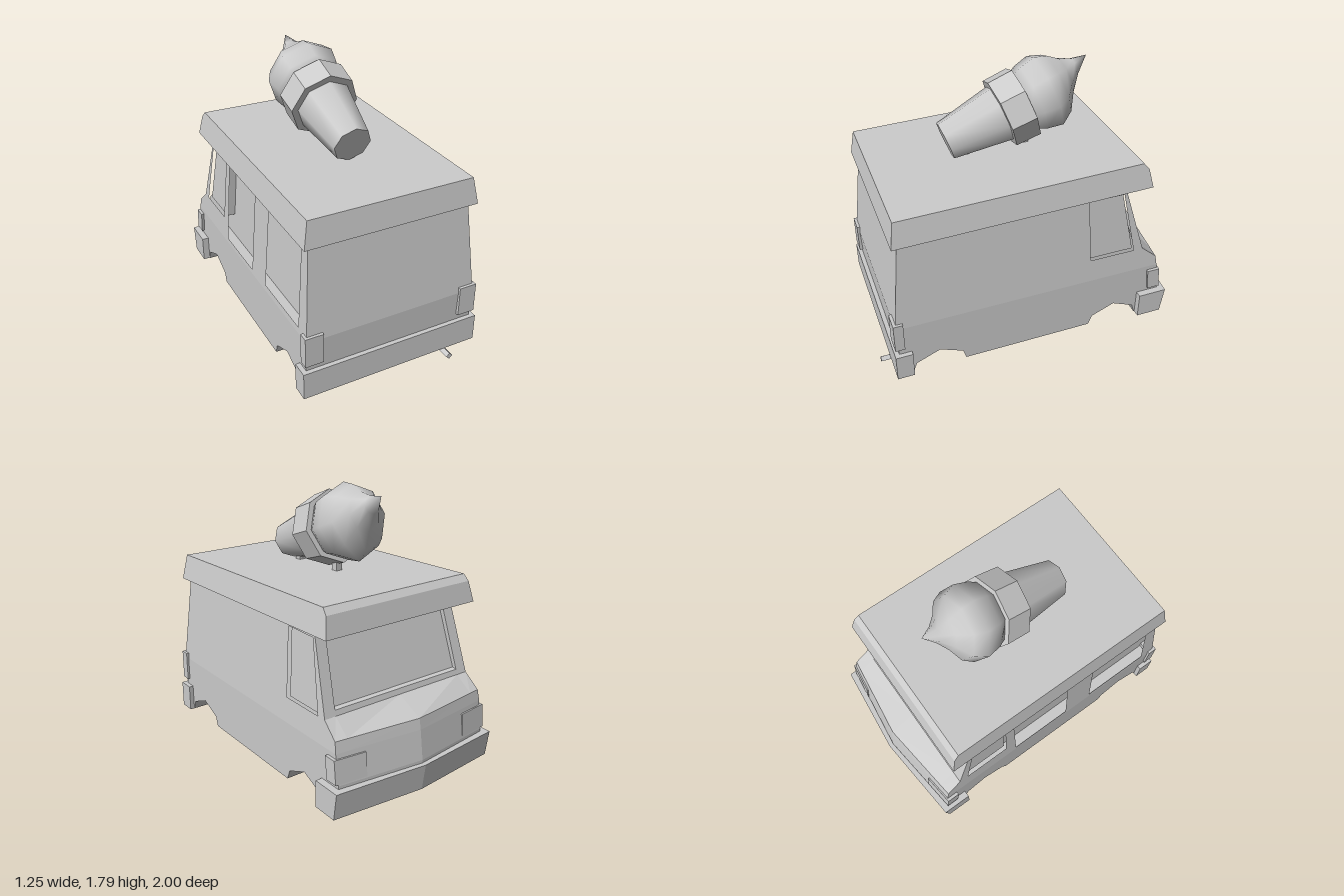
import * as THREE from 'three';
import { mergeVertices } from 'three/addons/utils/BufferGeometryUtils.js';

const material = new THREE.MeshStandardMaterial({ color: 0xcccccc });

function add(parent, name, geometry) {
  const mesh = new THREE.Mesh(geometry, material);
  mesh.name = name;
  parent.add(mesh);
  return mesh;
}

// Move every vertex of a geometry by a rule
function bend(geometry, rule) {
  const p = geometry.attributes.position;
  const v = new THREE.Vector3();
  for (let i = 0; i < p.count; i++) {
    v.fromBufferAttribute(p, i);
    rule(v);
    p.setXYZ(i, v.x, v.y, v.z);
  }
  geometry.computeVertexNormals();
  return geometry;
}

// Side outline of [z, y] points extruded across the van from x0 to x1
function slab(x0, x1, outline, holes = []) {
  const toPoints = (list) => list.map(([z, y]) => new THREE.Vector2(-z, y));
  const shape = new THREE.Shape(toPoints(outline));
  for (const hole of holes) shape.holes.push(new THREE.Path(toPoints(hole)));
  const g = new THREE.ExtrudeGeometry(shape, { depth: x1 - x0, bevelEnabled: false });
  return g.rotateY(Math.PI / 2).translate(x0, 0, 0);
}

// Plan outline of [x, z] points extruded upwards from y0 to y1
function plan(outline, y0, y1) {
  const shape = new THREE.Shape(outline.map(([x, z]) => new THREE.Vector2(x, -z)));
  const g = new THREE.ExtrudeGeometry(shape, { depth: y1 - y0, bevelEnabled: false });
  return g.rotateX(-Math.PI / 2).translate(0, y0, 0);
}

// Walls lean in above the waist, and the nose comes to a shallow point in plan
const HALF = 0.58, WAIST = 0.43, INNER = 0.5;
function shapeBody(v) {
  if (v.z < -0.8) v.z -= 0.07 * (1 - Math.abs(v.x) / HALF);
  if (v.y > WAIST) v.x *= 1 - 0.08 * (v.y - WAIST) / 0.6;
}

const nose = [[-0.755, 0.59], [-0.86, 0.5], [-0.873, WAIST]];
const upper = [[0.92, WAIST], [0.855, 1.03], [-0.61, 1.07], ...nose];
const upperRecessed = [[0.92, WAIST], [0.855, 1.03], [-0.61, 1.07],
  [-0.617, 1.046], [-0.587, 1.04], [-0.715, 0.63], [-0.745, 0.624], ...nose];
const arch = (z) => [[z + 0.18, 0.045], [z + 0.155, 0.11], [z, 0.175], [z - 0.15, 0.11], [z - 0.17, 0.045]];
const lower = [[0.92, WAIST], [-0.873, WAIST], [-0.9, 0.24], [-0.9, 0.045],
  ...arch(-0.57).reverse(), ...arch(0.65).reverse(), [0.9, 0.045], [0.91, 0.2]];

const cabWindow = [[-0.36, 1.03], [-0.6, 1.03], [-0.69, 0.59], [-0.38, 0.59]];
const servingWindow = [[0.13, 1.02], [-0.3, 1.02], [-0.3, 0.46], [0.13, 0.46]];
const rearWindow = [[0.78, 1.02], [0.34, 1.02], [0.34, 0.47], [0.81, 0.47]];

function buildBody() {
  const body = new THREE.Group();
  body.name = 'body';
  const part = (name, ...args) => add(body, name, bend(slab(...args), shapeBody));
  for (const [x0, x1] of [[-INNER, 0], [0, INNER]]) part('cabinCore', x0, x1, upperRecessed);
  for (const [x0, x1] of [[-HALF, 0], [0, HALF]]) part('lowerBody', x0, x1, lower);
  part('leftWall', INNER, HALF, upper, [cabWindow]);
  part('rightWall', -HALF, -INNER, upper, [cabWindow, servingWindow, rearWindow]);
  part('leftCabWindow', INNER, HALF - 0.025, cabWindow);
  part('rightCabWindow', -HALF + 0.025, -INNER, cabWindow);
  return body;
}

// Roof cap with sloping sides
function buildRoof() {
  const outline = [[0.895, 1.03], [0.87, 1.2], [-0.71, 1.24], [-0.745, 1.2], [-0.775, 1.07]];
  return bend(slab(-1, 1, outline), (v) => {
    const height = (v.y - 1.05 + 0.024 * v.z) / 0.17;
    v.x *= 0.575 - 0.03 * height;
  });
}

// Giant cone lying on the roof, built along +y and then tilted
function buildIceCream() {
  const cone = new THREE.Group();
  cone.name = 'iceCream';
  add(cone, 'wafer', new THREE.CylinderGeometry(0.19, 0.125, 0.4, 8).translate(0, 0.2, 0));
  const collar = new THREE.CylinderGeometry(0.235, 0.23, 0.166, 8).toNonIndexed();
  collar.computeVertexNormals();
  add(cone, 'waferCollar', collar.translate(0, 0.463, 0));

  // Scoop with its tip curled upwards
  const profile = [[0, 0.5], [0.19, 0.53], [0.225, 0.6], [0.247, 0.7], [0.205, 0.78],
    [0.12, 0.85], [0.055, 0.925], [0, 1.02]].map(([r, y]) => new THREE.Vector2(r, y));
  let scoop = new THREE.LatheGeometry(profile, 8);
  scoop.deleteAttribute('uv');
  scoop.deleteAttribute('normal');
  scoop = mergeVertices(scoop, 1e-4);
  add(cone, 'scoop', bend(scoop, (v) => {
    const t = Math.max(0, (v.y - 0.75) / 0.27);
    v.z += 0.095 * t;
  }));
  cone.position.set(0, 1.33, 0.39);
  cone.rotation.x = -1.234;
  return cone;
}

export function createModel() {
  const van = new THREE.Group();
  van.name = 'iceCreamVan';
  van.add(buildBody());
  add(van, 'roof', buildRoof());

  // Cone and its supports
  van.add(buildIceCream());
  add(van, 'frontSupport', new THREE.BoxGeometry(0.045, 0.12, 0.045)).position.set(0, 1.25, -0.13);
  add(van, 'rearSupport', new THREE.BoxGeometry(0.045, 0.06, 0.045)).position.set(0, 1.21, 0.27);

  // Bumpers; the front one leans back towards its foot
  const frontBumper = plan([[-0.625, -0.745], [-0.625, -0.94], [0, -1], [0.625, -0.94], [0.625, -0.745]], 0.045, 0.22);
  add(van, 'frontBumper', bend(frontBumper, (v) => {
    if (v.z < -0.9) v.z += 0.025 * (0.22 - v.y) / 0.175;
  }));
  add(van, 'rearBumper', new THREE.BoxGeometry(1.22, 0.18, 0.11)).position.set(0, 0.135, 0.885);

  // Lights wrapping the corners
  for (const side of [1, -1]) {
    const corner = [[0.39, -0.85], [0.39, -0.925], [0.6, -0.9], [0.6, -0.815]].map(([x, z]) => [side * x, z]);
    add(van, 'headlight', bend(plan(corner, 0.25, 0.4), (v) => { v.z += 0.1 * (v.y - 0.25); }));
    add(van, 'tailLight', new THREE.BoxGeometry(0.12, 0.2, 0.062)).position.set(side * 0.535, 0.37, 0.904);
  }

  // Square exhaust pipe
  const pipe = new THREE.CylinderGeometry(0.022, 0.022, 0.21, 4).toNonIndexed();
  pipe.computeVertexNormals();
  add(van, 'exhaust', pipe.rotateX(Math.PI / 2)).position.set(0.385, 0.026, 0.895);

  // Stand the model on the ground
  van.position.y = -0.004;
  return van;
}
